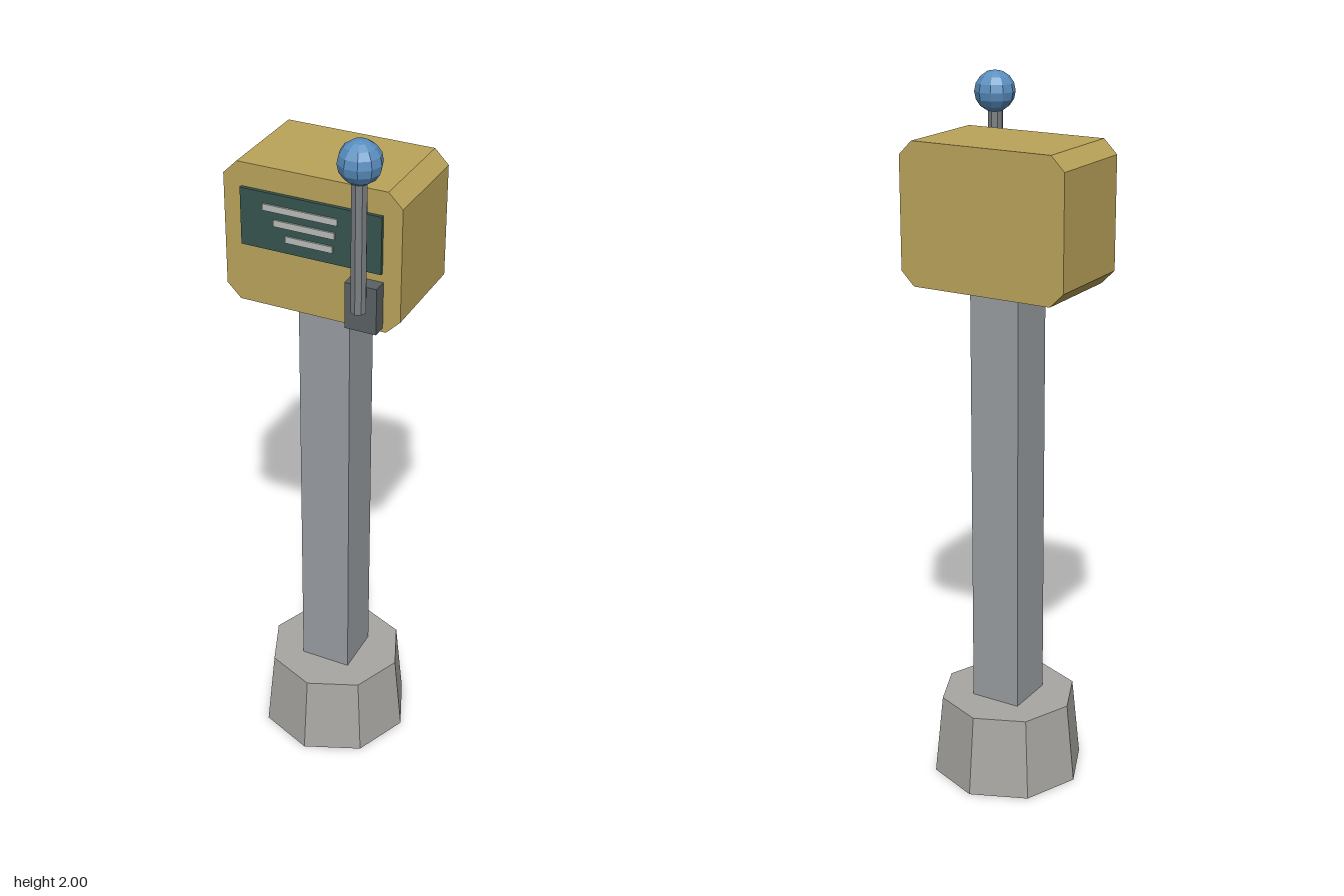
import * as THREE from 'three';

const mat = (color) => new THREE.MeshStandardMaterial({ color, flatShading: true });

export function createModel() {
  const model = new THREE.Group();
  const add = (name, geometry, material, x, y, z) => {
    const mesh = new THREE.Mesh(geometry, material);
    mesh.name = name;
    mesh.position.set(x, y, z);
    model.add(mesh);
    return mesh;
  };
  const stone = mat(0xa9a7a2);
  const steel = mat(0x999ea2);
  const ochre = mat(0xbba45a);
  const darkGreen = mat(0x36544e);
  const paleGrey = mat(0xb9bdb8);
  const darkSteel = mat(0x5b6063);
  const leverSteel = mat(0x7c8083);
  const blue = mat(0x5a8fc0);
  const axisZ = -0.016;

  // Octagonal tapered foot and square post
  add('base', new THREE.CylinderGeometry(0.197, 0.221, 0.237, 8), stone, 0, 0.1185, axisZ);
  add('post', new THREE.BoxGeometry(0.148, 1.24, 0.148), steel, 0, 0.85, axisZ);

  // Housing: chamfered rectangle extruded front to back
  const w = 0.247, h = 0.195, c = 0.039;
  const outline = new THREE.Shape([
    [-w + c, -h], [w - c, -h], [w, -h + c], [w, h - c],
    [w - c, h], [-w + c, h], [-w, h - c], [-w, -h + c],
  ].map(([x, y]) => new THREE.Vector2(x, y)));
  add('housing', new THREE.ExtrudeGeometry(outline, { depth: 0.286, bevelEnabled: false }),
    ochre, 0, 1.658, -0.159);

  // Display panel with three raised bars, each shorter than the one above
  add('displayPanel', new THREE.BoxGeometry(0.392, 0.158, 0.02), darkGreen, 0, 1.709, 0.127);
  [[-0.131, 0.077], [-0.1, 0.07], [-0.068, 0.064]].forEach(([x0, x1], i) => {
    add('displayBar' + (i + 1), new THREE.BoxGeometry(x1 - x0, 0.018, 0.01),
      paleGrey, (x0 + x1) / 2, 1.749 - i * 0.039, 0.137);
  });

  // Lever mount, rod and round knob
  add('leverMount', new THREE.BoxGeometry(0.088, 0.13, 0.05), darkSteel, 0.155, 1.54, 0.143);
  add('leverRod', new THREE.CylinderGeometry(0.021, 0.021, 0.37, 8), leverSteel, 0.155, 1.724, 0.18);
  add('leverKnob', new THREE.SphereGeometry(0.057, 10, 8), blue, 0.156, 1.943, 0.179);

  return model;
}
